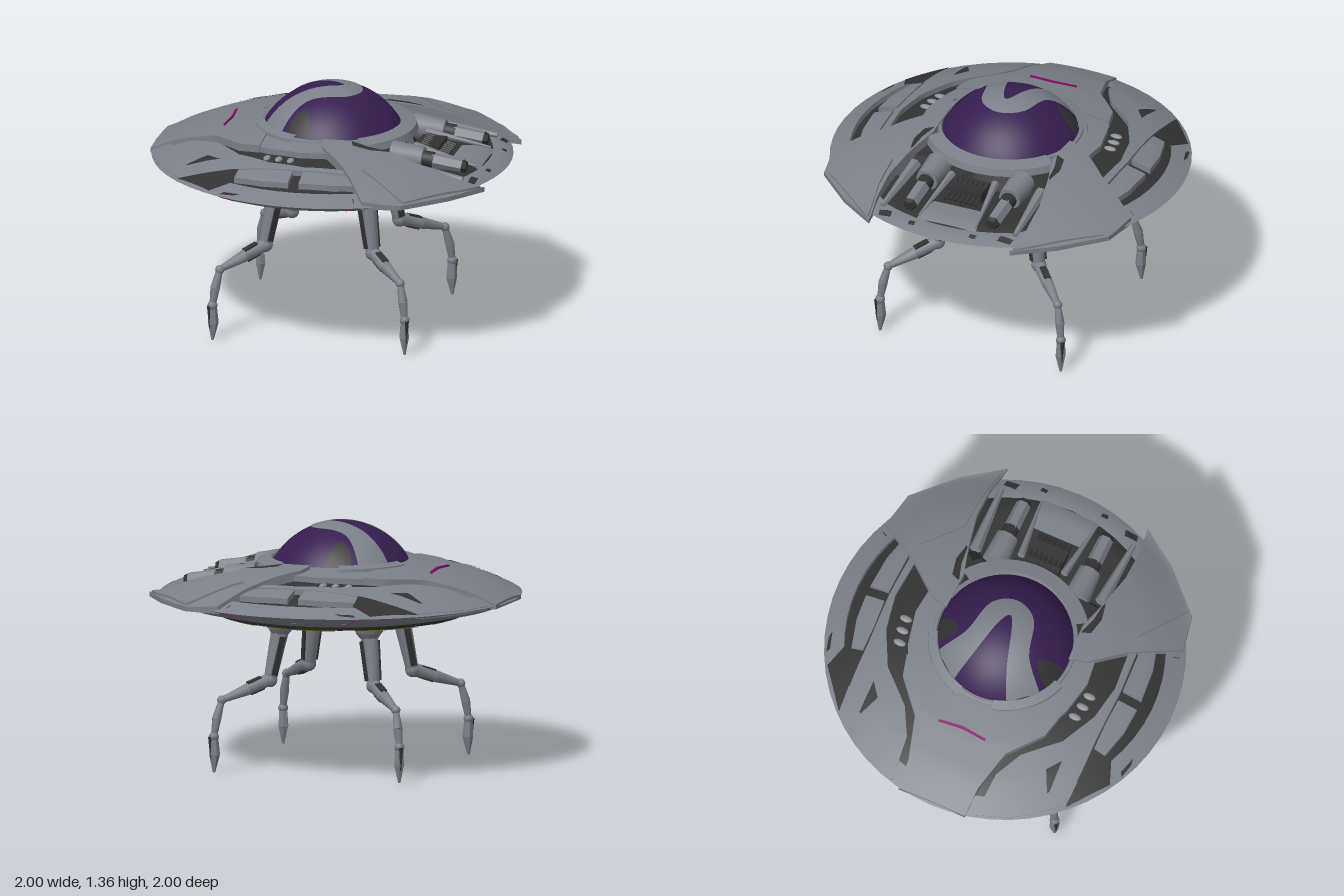
import * as THREE from 'three';
import { toCreasedNormals } from 'three/addons/utils/BufferGeometryUtils.js';

const mat = (name, color) => {
  const m = new THREE.MeshStandardMaterial({ color, side: THREE.DoubleSide });
  m.name = name;
  return m;
};

export function createModel() {
  const root = new THREE.Group();
  root.name = 'saucer';
  const hull = mat('hull grey', 0x7b7f87), dark = mat('dark panel', 0x323232);
  const purple = mat('purple glass', 0x361e4f), yellow = mat('dull yellow', 0x5e5912);
  const pink = mat('magenta trim', 0x8c0a6c), pale = mat('pale grey', 0x8c9096);

  const add = (name, geo, material, parent = root) => {
    const m = new THREE.Mesh(geo, material);
    m.name = name;
    parent.add(m);
    return m;
  };
  const lathe = (name, pts, material, a0 = 0, len = Math.PI * 2, rule) => {
    const n = Math.max(4, Math.round(56 * len / (Math.PI * 2)));
    const g = new THREE.LatheGeometry(pts.map(p => new THREE.Vector2(...p)), n, a0, len);
    const p = g.attributes.position;
    if (rule) for (let i = 0; i < p.count; i++) p.setY(i, rule(p.getX(i), p.getY(i), p.getZ(i)));
    return add(name, toCreasedNormals(g, 0.5), material);
  };
  // Tapered rod between two points
  const limb = (name, a, b, ra, rb, material, sides = 8, parent = root) => {
    const p = new THREE.Vector3(...a), q = new THREE.Vector3(...b), d = q.clone().sub(p);
    const g = new THREE.CylinderGeometry(rb, ra, d.length(), sides);
    const m = add(name, toCreasedNormals(g, 0.8), material, parent);
    m.position.copy(p).add(q).multiplyScalar(0.5);
    m.quaternion.setFromUnitVectors(new THREE.Vector3(0, 1, 0), d.normalize());
    return m;
  };

  // Height of the outer skin by radius
  const skin = [[0, 1.14], [0.4, 1.135], [0.6, 1.1], [0.8, 1.045], [0.89, 1.008], [1, 0.958], [1.2, 0.87]];
  const upper = (x, z) => {
    const r = Math.hypot(x, z);
    const i = Math.max(1, skin.findIndex(p => p[0] >= r));
    const [a, b] = [skin[i - 1], skin[i]];
    return a[1] + (b[1] - a[1]) * (r - a[0]) / (b[0] - a[0]);
  };
  const wingTop = (x, z) => Math.max(upper(x, z), 0.947);
  const bayFloor = (x, z) => Math.min(1.0, upper(x, z) - 0.03);
  const bayRim = (x, z) => Math.min(0.985, upper(x, z));
  const domeTop = (x, z) => 0.917 + Math.sqrt(Math.max(0, 0.438 ** 2 - x * x - z * z));

  // Plate lofted between two edge curves, draped on a height rule, with side walls
  const plate = (name, A, B, material, { h = upper, lift = 0.01, depth = 0, side = 1, smooth = false } = {}) => {
    const n = (A.length - 1) * 5, m = 8, pos = [], idx = [];
    const at = (pts, t) => {
      if (smooth) return new THREE.SplineCurve(pts.map(p => new THREE.Vector2(...p))).getPoint(t).toArray();
      const f = t * (pts.length - 1), i = Math.min(pts.length - 2, Math.floor(f)), k = f - i;
      return [0, 1].map(c => pts[i][c] + (pts[i + 1][c] - pts[i][c]) * k);
    };
    const quad = (a, b, c, d) => idx.push(a, b, c, b, d, c);
    for (let i = 0; i <= n; i++) {
      const a = at(A, i / n), b = at(B, i / n);
      for (let j = 0; j <= m; j++) {
        const x = a[0] + (b[0] - a[0]) * j / m, z = (a[1] + (b[1] - a[1]) * j / m) * side;
        pos.push(x, h(x, z) + lift, z);
      }
    }
    const id = (i, j) => i * (m + 1) + j;
    for (let i = 0; i < n; i++) for (let j = 0; j < m; j++) quad(id(i, j), id(i, j + 1), id(i + 1, j), id(i + 1, j + 1));
    if (depth) {
      const loop = [];
      for (let i = 0; i < n; i++) loop.push(id(i, 0));
      for (let j = 0; j < m; j++) loop.push(id(n, j));
      for (let i = n; i > 0; i--) loop.push(id(i, m));
      for (let j = m; j > 0; j--) loop.push(id(0, j));
      const base = pos.length / 3, L = loop.length;
      loop.forEach(k => pos.push(pos[k * 3], Math.max(0.943, pos[k * 3 + 1] - depth), pos[k * 3 + 2]));
      loop.forEach((k, i) => quad(k, loop[(i + 1) % L], base + i, base + (i + 1) % L));
    }
    const g = new THREE.BufferGeometry();
    g.setAttribute('position', new THREE.Float32BufferAttribute(pos, 3));
    g.setIndex(idx);
    return add(name, toCreasedNormals(g, 0.5), material);
  };

  // Sunken deck, cut lower in the engine bay, and the outer rim
  const inBay = (x, z) => x > 0.42 && Math.abs(z) < 0.43;
  const deck = [];
  for (let i = 0; i <= 14; i++) {
    const r = 0.3 + 0.59 * i / 14;
    deck.push([r, upper(r, 0) - 0.03]);
  }
  lathe('sunkenDeck', deck, dark, 0, Math.PI * 2, (x, y, z) => inBay(x, z) ? Math.min(y, 1.0) : y);
  lathe('rim', [[0.885, 0.975], [0.89, 1.008], [0.94, 0.985], [1, 0.958]], hull, 0, Math.PI * 2,
    (x, y, z) => inBay(x, z) ? Math.min(y, 0.985) : y);

  // Underside with segmented ring
  lathe('belly', [[1, 0.958], [0.9, 0.912], [0.7, 0.868]], hull);
  lathe('bellyEdge', [[0.7, 0.868], [0.69, 0.85], [0.655, 0.843]], dark);
  lathe('bellyPlate', [[0.655, 0.843], [0.3, 0.805], [0, 0.802]], hull);
  lathe('bellyGroove', [[0.285, 0.8], [0.235, 0.798]], dark);
  for (let i = 0; i < 8; i++)
    lathe('bellyPanel', [[0.648, 0.837], [0.38, 0.809]], yellow, i * Math.PI / 4 - 0.3, 0.6);

  // Nose
  const nose = [[-0.985, 0.2], [-0.83, 0.21], [-0.6, 0.275], [-0.42, 0.43], [-0.3, 0.46]];
  plate('nosePlate', nose.map(([x, z]) => [x, -z]), nose, hull, { lift: 0.012, depth: 0.05 });
  plate('noseTrim', [[-0.575, -0.14], [-0.56, 0], [-0.575, 0.14]], [[-0.585, -0.14], [-0.573, 0], [-0.585, 0.14]],
    pink, { lift: 0.021, depth: 0.012 });

  for (const side of [-1, 1]) {
    const raised = { side, lift: 0.002, depth: 0.035 };
    // Shoulder bands and outer panels, with dark trenches between
    plate('innerShoulder', [[-0.36, 0.25], [-0.2, 0.32], [0, 0.36], [0.15, 0.36]],
      [[-0.4, 0.41], [-0.24, 0.48], [-0.05, 0.52], [0.12, 0.5]], hull, raised);
    plate('outerShoulder', [[-0.955, 0.25], [-0.72, 0.27], [-0.57, 0.35], [-0.4, 0.53], [-0.2, 0.63], [0, 0.665], [0.3, 0.64]],
      [[-0.9, 0.41], [-0.82, 0.54], [-0.7, 0.68], [-0.5, 0.69], [-0.3, 0.69], [0, 0.7], [0.36, 0.68]], hull, raised);
    plate('outerPanel', [[-0.37, 0.7], [-0.2, 0.7], [-0.05, 0.708]], [[-0.37, 0.765], [-0.2, 0.81], [-0.05, 0.82]], hull, raised);
    plate('outerPanel', [[0.01, 0.708], [0.2, 0.7], [0.4, 0.69]], [[0.01, 0.82], [0.2, 0.805], [0.4, 0.75]], hull, raised);
    plate('rimPatch', [[-0.71, 0.685], [-0.55, 0.692], [-0.36, 0.695]], [[-0.7, 0.695], [-0.49, 0.855], [-0.37, 0.81]], dark, { side, lift: 0.006 });
    plate('rimMark', [[-0.42, 0.895], [-0.34, 0.915]], [[-0.4, 0.88], [-0.3, 0.91]], dark, { side, lift: 0.004 });
    plate('shoulderMark', [[-0.69, 0.565], [-0.58, 0.51]], [[-0.68, 0.575], [-0.5, 0.57]], dark, { side, lift: 0.006 });
    for (const [x, z] of [[-0.24, 0.53], [-0.17, 0.545], [-0.1, 0.555]]) {
      const lamp = add('shoulderLamp', new THREE.SphereGeometry(0.025, 10, 8), pale);
      lamp.position.set(x, upper(x, z) - 0.028, z * side);
      lamp.scale.set(0.8, 0.5, 1.5);
    }
    // Swept rear wings
    plate('wing', [[0.03, 0.37], [0.24, 0.36], [0.42, 0.41], [0.62, 0.45], [0.8, 0.45], [0.97, 0.425]],
      [[0.06, 0.47], [0.22, 0.65], [0.39, 0.9], [0.6, 0.86], [0.82, 0.64], [0.968, 0.43]],
      hull, { side, h: wingTop, lift: 0.022, depth: 0.1 });
    plate('wingPanel', [[0.52, 0.48], [0.72, 0.475], [0.95, 0.44]], [[0.33, 0.66], [0.61, 0.83], [0.945, 0.455]],
      hull, { side, h: wingTop, lift: 0.033, depth: 0.02 });
    plate('wingMark', [[0.22, 0.42], [0.32, 0.44], [0.42, 0.42]], [[0.2, 0.37], [0.3, 0.4], [0.4, 0.41]],
      dark, { side, h: wingTop, lift: 0.027 });
    // Engines, drooping toward the rim
    const z = 0.25 * side;
    limb('engineBody', [0.4, 1.065, z], [0.58, 1.05, z], 0.074, 0.064, hull, 10);
    limb('engineNeck', [0.58, 1.05, z], [0.64, 1.042, z], 0.045, 0.045, dark, 10);
    limb('engineNozzle', [0.63, 1.043, z], [0.8, 1.02, z], 0.045, 0.042, hull, 6);
    limb('engineTip', [0.8, 1.02, z], [0.825, 1.017, z], 0.042, 0.03, dark, 6);
    limb('engineStrut', [0.5, 1.08, 0.13 * side], [0.86, 1.0, 0.17 * side], 0.022, 0.006, hull, 6);
    limb('engineBrace', [0.44, 1.05, 0.38 * side], [0.84, 0.995, 0.4 * side], 0.035, 0.015, hull, 6);
    // Dark marks on the rim behind the engines
    plate('bayRimMark', [[0.87, 0.33], [0.91, 0.32]], [[0.87, 0.405], [0.905, 0.395]], dark, { side, h: bayRim, lift: 0.006 });
    plate('bayRimMark', [[0.92, 0.165], [0.945, 0.165]], [[0.92, 0.205], [0.945, 0.2]], dark, { side, h: bayRim, lift: 0.006 });
    // Rim edge trim
    const trim = [[-0.42, 0.95], [-0.35, 0.917], [-0.05, 0.917]], corner = [[0.29, 0.917], [0.36, 0.955], [0.33, 0.99]];
    const onRim = ([x, py]) => {
      const r = py < 0.958 ? 1 - (0.958 - py) / 0.46 : 1 - (py - 0.958) / 0.455;
      return [x, py, side * Math.sqrt(r * r - x * x)];
    };
    for (const line of [trim, corner]) for (let i = 0; i < 2; i++)
      limb('rimTrim', onRim(line[i]), onRim(line[i + 1]), 0.003, 0.003, pink, 4);
  }
  // Bay floor and the ribbed coupling between the engines
  plate('bayFloor', [[0.7, -0.15], [0.88, -0.18]], [[0.7, 0.15], [0.88, 0.18]], hull, { h: bayFloor, lift: 0.008 });
  add('couplingCore', new THREE.BoxGeometry(0.14, 0.06, 0.2), dark).position.set(0.56, 1.04, 0);
  for (let i = -3; i <= 3; i++)
    limb('couplingRib', [0.52, 1.075, i * 0.03], [0.68, 1.025, i * 0.03], 0.011, 0.011, dark, 6);

  // Dome, its stripe and collar
  add('dome', new THREE.SphereGeometry(0.438, 64, 20, 0, Math.PI * 2, 0, 1.08), purple).position.y = 0.917;
  const glass = { h: domeTop, lift: 0.005, smooth: true };
  plate('domeStripe',
    [[-0.345, -0.16], [-0.2, -0.1], [0, -0.04], [0.065, 0], [0, 0.04], [-0.2, 0.1], [-0.345, 0.16]],
    [[-0.22, -0.31], [-0.1, -0.19], [0.1, -0.13], [0.17, 0], [0.1, 0.13], [-0.1, 0.19], [-0.22, 0.31]], hull, glass);
  for (const side of [-1, 1])
    plate('domePatch', [[-0.18, 0.335], [-0.15, 0.27], [-0.1, 0.24]], [[-0.04, 0.375], [-0.05, 0.3], [-0.09, 0.24]],
      dark, { ...glass, side });
  lathe('collar', [[0.405, 1.12], [0.4, 1.146], [0.385, 1.15], [0.37, 1.13]], hull);
  lathe('rearCowl', [[0.41, 1.09], [0.475, 1.1], [0.465, 1.14], [0.385, 1.158], [0.37, 1.13]], hull, Math.PI / 2 - 0.95, 1.9);
  for (const c of [-1, 1])
    lathe('frontCowl', [[0.43, 1.11], [0.425, 1.15], [0.375, 1.164], [0.36, 1.13]], hull, -Math.PI / 2 + c * 0.75 - 0.5, 1.0);

  // Four jointed legs, each built along its own +x
  for (let i = 0; i < 4; i++) {
    const leg = new THREE.Group();
    leg.name = 'leg';
    leg.rotation.y = Math.PI / 4 + i * Math.PI / 2;
    root.add(leg);
    const rod = (name, a, b, ra, rb, m = hull, s = 8) => limb(name, [...a, 0], [...b, 0], ra, rb, m, s, leg);
    const joint = (x, y, r) => add('joint', new THREE.SphereGeometry(r, 10, 8), hull, leg).position.set(x, y, 0);
    rod('hipCap', [0.37, 0.815], [0.37, 0.785], 0.085, 0.075, hull, 14);
    rod('hip', [0.37, 0.785], [0.375, 0.745], 0.075, 0.045, hull, 14);
    rod('thigh', [0.37, 0.77], [0.43, 0.5], 0.052, 0.038);
    for (const s of [-1, 1]) {
      const inset = add('thighInset', new THREE.BoxGeometry(0.034, 0.22, 0.009), dark, leg);
      inset.position.set(0.4, 0.63, s * 0.045);
      inset.rotation.set(s * 0.05, 0, 0.22);
      // Dark leaf on the upper and lower face of the foreleg
      const leaf = add('forelegInset', new THREE.BoxGeometry(0.085, 0.009, 0.036), dark, leg);
      leaf.position.set(0.52 + s * 0.01, 0.468 + s * 0.031, 0);
      leaf.rotation.z = -0.34;
    }
    joint(0.432, 0.495, 0.042);
    rod('foreleg', [0.43, 0.5], [0.57, 0.45], 0.038, 0.034);
    rod('foreleg', [0.57, 0.45], [0.725, 0.4], 0.034, 0.018);
    joint(0.725, 0.4, 0.026);
    rod('shin', [0.725, 0.4], [0.755, 0.3], 0.018, 0.027);
    rod('shin', [0.755, 0.3], [0.772, 0.2], 0.027, 0.018);
    joint(0.772, 0.2, 0.028);
    rod('foot', [0.772, 0.215], [0.768, 0.1], 0.022, 0.03, hull, 6);
    rod('claw', [0.768, 0.1], [0.772, 0], 0.03, 0.007, hull, 6);
    rod('spur', [0.795, 0.2], [0.79, 0.07], 0.012, 0.003, dark, 5);
  }
  return root;
}
